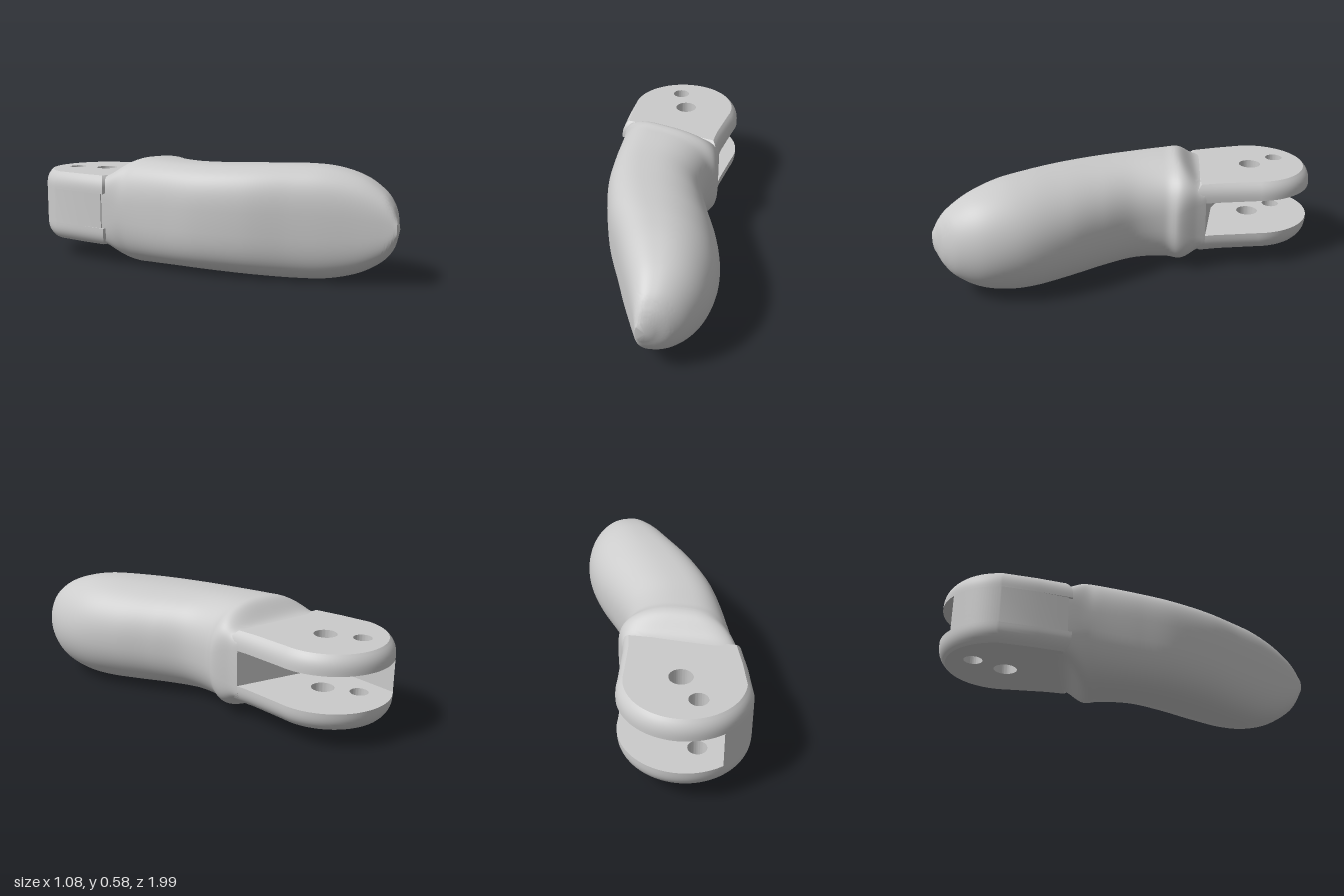
import * as THREE from 'three';
import { toCreasedNormals } from 'three/addons/utils/BufferGeometryUtils.js';

const MID = 0.29; // height of the horizontal symmetry plane
const PIVOT = [-0.2, 0.67], PIN = [-0.3, 0.82]; // hole centres as (x, -z)

// Grip stations: right-hand and left-hand edge in plan, half height, squareness of each side
const STATIONS = [
  // [ax, az, bx, bz, half height, squareness a, squareness b]
  [-0.50, -0.52, 0.13, -0.40, 0.185, 8, 8],
  [-0.455, -0.38, 0.145, -0.355, 0.2, 5, 6],
  [-0.42, -0.28, 0.18, -0.26, 0.282, 2.8, 3],
  [-0.39, -0.19, 0.165, -0.18, 0.283, 2.8, 2.6],
  [-0.33, 0.0, 0.2, -0.03, 0.277, 3, 2.4],
  [-0.26, 0.19, 0.3, 0.13, 0.279, 3, 2.3],
  [-0.14, 0.4, 0.41, 0.29, 0.286, 3, 2.2],
  [0.0, 0.58, 0.49, 0.44, 0.29, 3, 2.1],
  [0.1, 0.71, 0.53, 0.57, 0.28, 3, 2],
  [0.2, 0.835, 0.538, 0.7, 0.24, 3, 2],
  [0.27, 0.925, 0.51, 0.82, 0.175, 3, 2],
  [0.3, 0.965, 0.46, 0.9, 0.115, 3, 2],
  [0.32, 0.993, 0.4, 0.95, 0.05, 2.5, 2],
];

// Loft of D-shaped sections through the smoothed stations
function gripGeometry() {
  const rows = 110, sides = 72, peak = 0.42;
  const curve = (f) => new THREE.CatmullRomCurve3(
    STATIONS.map((s) => new THREE.Vector3(...f(s))), false, 'catmullrom', 0.5);
  const edgeA = curve((s) => [s[0], 0, s[1]]);
  const edgeB = curve((s) => [s[2], 0, s[3]]);
  const form = curve((s) => [s[4], s[5], s[6]]);
  const pos = [], index = [];
  for (let i = 0; i <= rows; i++) {
    const t = i / rows;
    const a = edgeA.getPoint(t), b = edgeB.getPoint(t), k = form.getPoint(t);
    for (let j = 0; j < sides; j++) {
      const ang = (j / sides) * Math.PI * 2;
      const c = Math.cos(ang), s = Math.sin(ang);
      const e = 2 / (c < 0 ? k.y : k.z);
      const w = Math.pow(Math.abs(c), e);
      const p = a.clone().lerp(b, c < 0 ? peak * (1 - w) : peak + (1 - peak) * w);
      pos.push(p.x, MID + k.x * Math.sign(s) * Math.pow(Math.abs(s), e), p.z);
    }
  }
  for (let i = 0; i < rows; i++) {
    for (let j = 0; j < sides; j++) {
      const p = i * sides + j, q = i * sides + ((j + 1) % sides);
      index.push(p, q, p + sides, q, q + sides, p + sides);
    }
  }
  // End caps: slot floor and tip
  const first = pos.length / 3, last = rows * sides;
  pos.push(-0.185, MID, -0.46, 0.365, MID, 0.98);
  for (let j = 0; j < sides; j++) {
    const n = (j + 1) % sides;
    index.push(first, n, j, first + 1, last + j, last + n);
  }
  const g = new THREE.BufferGeometry();
  g.setAttribute('position', new THREE.Float32BufferAttribute(pos, 3));
  g.setIndex(index);
  return toCreasedNormals(g, 0.7);
}

// Fork plate with two holes; the rim is rounded towards its outer face
function plateGeometry(bottom, top, outer) {
  const shape = new THREE.Shape();
  shape.moveTo(0.14, 0.34);
  shape.lineTo(0.12, 0.45);
  shape.absarc(-0.22, 0.68, 0.32, 0, Math.PI, false);
  shape.lineTo(-0.5, 0.5);
  shape.lineTo(-0.455, 0.34);
  shape.closePath();
  for (const [c, r] of [[PIVOT, 0.058], [PIN, 0.046]]) {
    const hole = new THREE.Path();
    hole.absarc(c[0], c[1], r, 0, Math.PI * 2, true);
    shape.holes.push(hole);
  }
  const depth = top - bottom;
  const g = new THREE.ExtrudeGeometry(shape, { depth, steps: 8, bevelEnabled: false, curveSegments: 40 });
  const p = g.attributes.position;
  for (let i = 0; i < p.count; i++) {
    const x = p.getX(i), y = p.getY(i);
    const inHole = [PIVOT, PIN].some((c) => Math.hypot(x - c[0], y - c[1]) < 0.08);
    if (inHole) continue;
    const t = outer > 0 ? p.getZ(i) / depth : 1 - p.getZ(i) / depth;
    const k = 1 - 0.11 * Math.pow(t, 3);
    p.setXY(i, -0.22 + (x + 0.22) * k, 0.68 + (y - 0.68) * k);
  }
  g.rotateX(-Math.PI / 2).translate(0, bottom, 0);
  return toCreasedNormals(g, 0.6);
}

// Curved web closing one side of the fork slot
function webGeometry() {
  const shape = new THREE.Shape();
  shape.moveTo(-0.1, 0.42);
  shape.quadraticCurveTo(-0.4, 0.5, -0.42, 0.68);
  shape.lineTo(-0.43, 0.9215);
  shape.absarc(-0.22, 0.68, 0.32, 2.286, Math.PI, false);
  shape.lineTo(-0.5, 0.5);
  shape.lineTo(-0.455, 0.36);
  shape.closePath();
  const g = new THREE.ExtrudeGeometry(shape, { depth: 0.19, bevelEnabled: false, curveSegments: 24 });
  g.rotateX(-Math.PI / 2).translate(0, 0.198, 0);
  return toCreasedNormals(g, 0.6);
}

export function createModel() {
  const group = new THREE.Group();
  group.name = 'leverHandle';
  const material = new THREE.MeshStandardMaterial({ color: 0xcccccc });
  const add = (name, geometry) => {
    const mesh = new THREE.Mesh(geometry, material);
    mesh.name = name;
    group.add(mesh);
  };
  add('grip', gripGeometry());
  add('upperForkPlate', plateGeometry(0.387, 0.482, 1));
  add('lowerForkPlate', plateGeometry(0.105, 0.2, -1));
  add('forkWeb', webGeometry());
  return group;
}
